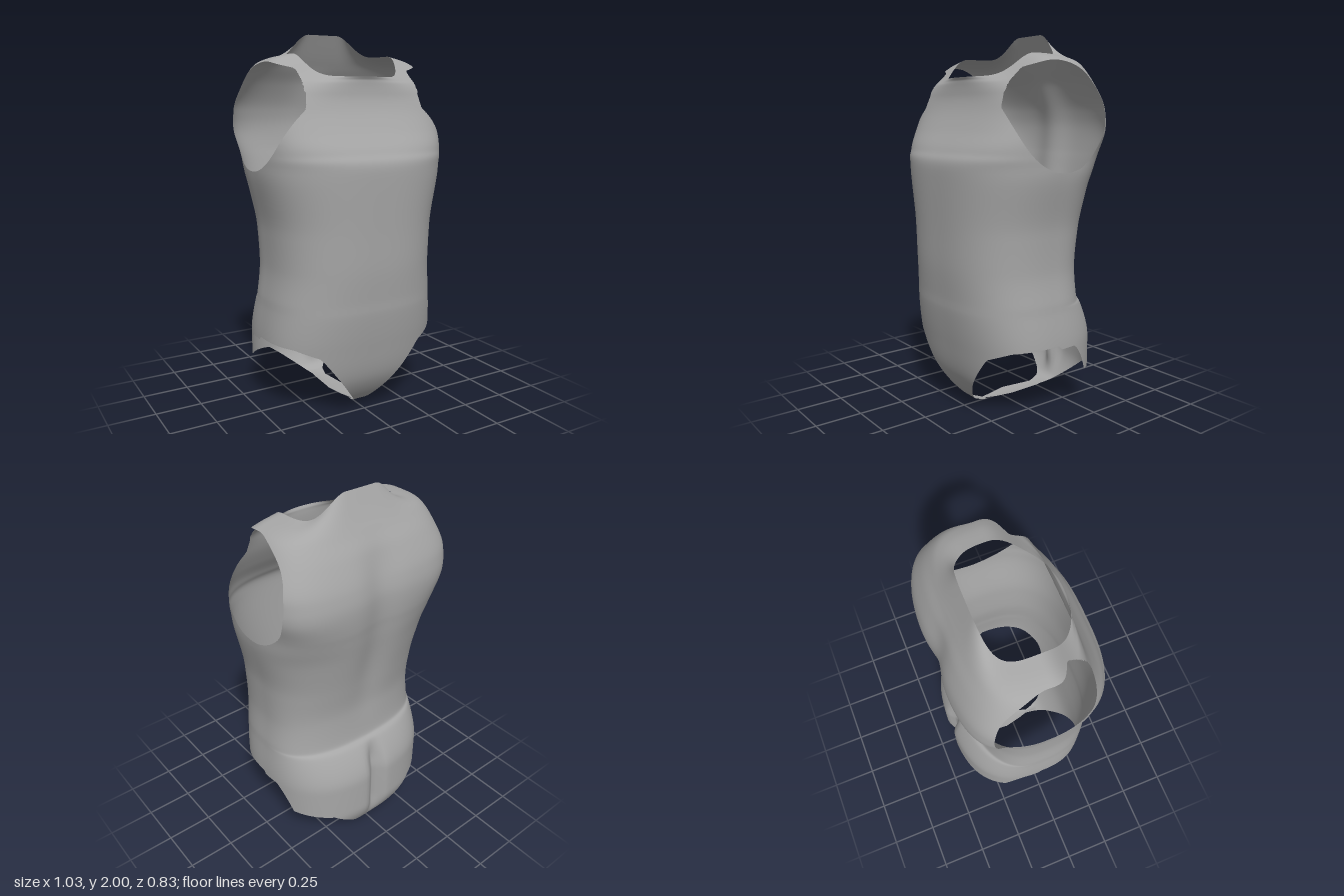
import * as THREE from 'three';

const { smoothstep, lerp, clamp } = THREE.MathUtils;

// Level rings from the bottom up: [height, half width, front depth, back depth]
const BODY = [
  [0, 0.49, 0.1, -0.25],
  [0.02, 0.49, 0.16, -0.31],
  [0.06, 0.49, 0.225, -0.36],
  [0.2, 0.49, 0.315, -0.412],
  [0.4, 0.492, 0.362, -0.41],
  [0.59, 0.475, 0.39, -0.338],
  [0.63, 0.472, 0.392, -0.303],
  [0.8, 0.455, 0.405, -0.295],
  [1.0, 0.462, 0.41, -0.32],
  [1.3, 0.515, 0.418, -0.377],
  [1.4, 0.518, 0.385, -0.392],
  [1.5, 0.525, 0.325, -0.398],
  [1.6, 0.525, 0.275, -0.385],
];
// Tilted shoulder rings: [side, front and back height, half width, front and back depth]
const YOKE = [
  [1.73, 1.68, 1.73, 0.495, 0.253, -0.335],
  [1.82, 1.73, 1.82, 0.455, 0.25, -0.285],
  [1.86, 1.75, 1.89, 0.39, 0.25, -0.25],
  [1.885, 1.768, 2, 0.288, 0.257, -0.2],
];
const COUNT = BODY.length + YOKE.length;

// Leg opening heights by distance from the middle (front, back) and by depth (back)
const LEG_FRONT = [[0, -0.01], [0.03, 0.03], [0.1, 0.11], [0.3, 0.36], [0.42, 0.41], [0.5, 0.42]];
const LEG_BACK = [[0, -0.01], [0.05, 0.02], [0.2, 0.14], [0.28, 0.2], [0.45, 0.24], [0.485, 0.4]];
const LEG_DEPTH = [[0.1, 0.41], [0.17, 0.35], [0.33, 0.22], [0.42, 0.2]];

function lookup(table, v) {
  let i = 1;
  while (i < table.length - 1 && table[i][0] < v) i++;
  const [a, b] = [table[i - 1], table[i]];
  return lerp(a[1], b[1], clamp((v - a[0]) / (b[0] - a[0]), 0, 1));
}

function ring(i) {
  if (i >= BODY.length) return YOKE[i - BODY.length];
  const [y, ...rest] = BODY[i];
  return [y, y, y, ...rest];
}

// Smooth blend between neighbouring rings without overshoot
function ringAt(i, f) {
  const A = ring(i), B = ring(i + 1);
  const slope = (k, c) => {
    if (k === 0 || k === COUNT - 1) return B[c] - A[c];
    const d0 = ring(k)[c] - ring(k - 1)[c], d1 = ring(k + 1)[c] - ring(k)[c];
    if (d0 * d1 <= 0) return 0;
    return Math.sign(d0) * Math.min(Math.abs(d0 + d1) / 2, 2 * Math.abs(d0), 2 * Math.abs(d1));
  };
  const f2 = f * f, f3 = f2 * f;
  return A.map((a, c) => (2 * f3 - 3 * f2 + 1) * a + (f3 - 2 * f2 + f) * slope(i, c)
    + (3 * f2 - 2 * f3) * B[c] + (f3 - f2) * slope(i + 1, c));
}

const bump = (v, w) => Math.exp(-((v / w) ** 2));

function surfacePoint([ys, yf, yb, hw, zf, zb], angle) {
  const c = Math.cos(angle), s = Math.sin(angle), front = s >= 0;
  // Rounded-square outline: squarer at the chest, rounder at the neck
  const yoke = smoothstep(ys, 1.62, 1.9);
  const n = front
    ? 2.7 + 1.8 * smoothstep(ys, 1.3, 1.6) - 2.3 * yoke
    : 2.55 + 1.05 * smoothstep(ys, 1.2, 1.5) - 0.3 * yoke;
  const taper = 0.08 * smoothstep(ys, 1.35, 1.55) * (1 - yoke);
  const r = (Math.abs(c) ** n + Math.abs(s) ** n) ** (-1 / n);
  const u = Math.abs(c * r), v = s * r;
  const x = c * r * hw * (1 - taper * v);
  const w = front ? 1 - u ** 8 : 1 - smoothstep(u, 0.3, 0.95);
  const y = ys + ((front ? yf : yb) - ys) * w;
  let z = Math.abs(v) * (front ? zf : zb);
  if (!front) {
    // Cleft below and soft spine furrow above
    z += 0.055 * bump(x, 0.04) * smoothstep(y, 0.04, 0.2) * (1 - smoothstep(y, 0.45, 0.63));
    z += 0.028 * bump(x, 0.1) * smoothstep(y, 0.65, 1.2) * (1 - smoothstep(y, 1.6, 1.85));
  }
  return [x, y, z];
}

// Positive where cloth remains, negative inside the arm and leg openings
function keep([x, y, z]) {
  const ax = Math.abs(x);
  const arm = Math.max(Math.hypot((z + 0.01) / 0.27, (y - 1.57) / 0.272) - 1, (0.33 - ax) * 4);
  const cut = z >= 0 ? lookup(LEG_FRONT, ax) : Math.min(lookup(LEG_BACK, ax), lookup(LEG_DEPTH, -z));
  return Math.min(arm * 0.27, y - cut);
}

function finish(points, index) {
  const g = new THREE.BufferGeometry();
  g.setAttribute('position', new THREE.Float32BufferAttribute(points.flat(), 3));
  g.setIndex(index);
  g.computeVertexNormals();
  return g.toNonIndexed(); // drops the cut-away vertices
}

function torsoGeometry() {
  const cols = 144, steps = 8, rows = (COUNT - 1) * steps;
  const points = [], field = [], index = [], cuts = new Map();
  for (let j = 0; j <= rows; j++) {
    const i = Math.min(Math.floor(j / steps), COUNT - 2);
    const outline = ringAt(i, j / steps - i);
    for (let k = 0; k < cols; k++) {
      const p = surfacePoint(outline, (k / cols) * Math.PI * 2);
      points.push(p);
      field.push(keep(p));
    }
  }
  // Shared vertex where an edge crosses an opening
  const cutVertex = (a, b) => {
    const key = `${Math.min(a, b)}_${Math.max(a, b)}`;
    if (!cuts.has(key)) {
      const t = field[a] / (field[a] - field[b]);
      points.push(points[a].map((v, c) => lerp(v, points[b][c], t)));
      cuts.set(key, points.length - 1);
    }
    return cuts.get(key);
  };
  const addClipped = (tri) => {
    const poly = [];
    tri.forEach((a, n) => {
      const b = tri[(n + 1) % 3];
      if (field[a] >= 0) poly.push(a);
      if ((field[a] >= 0) !== (field[b] >= 0)) poly.push(cutVertex(a, b));
    });
    for (let n = 2; n < poly.length; n++) index.push(poly[0], poly[n - 1], poly[n]);
  };
  for (let j = 0; j < rows; j++) {
    for (let k = 0; k < cols; k++) {
      const a = j * cols + k, b = j * cols + (k + 1) % cols;
      addClipped([a, a + cols, b]);
      addClipped([b, a + cols, b + cols]);
    }
  }
  return finish(points, index);
}

// Narrow strip joining front and back between the legs
function stripGeometry() {
  const points = [], index = [];
  const profile = [[0.18, 0.03, 0.022], [0.12, 0.008, 0.008], [0.05, 0.006, 0.028],
    [-0.05, 0.008, 0.05], [-0.25, 0.003, 0.035], [-0.31, 0.022, 0.045]];
  profile.forEach(([z, y, w], i) => {
    points.push([-w, y + 0.004, z], [0, y, z], [w, y + 0.004, z]);
    if (i === 0) return;
    for (let c = 0; c < 2; c++) {
      const a = (i - 1) * 3 + c, b = a + 3;
      index.push(a, b, a + 1, a + 1, b, b + 1);
    }
  });
  return finish(points, index);
}

export function createModel() {
  const group = new THREE.Group();
  group.name = 'sleevelessBodysuit';
  const grey = new THREE.MeshStandardMaterial({ color: 0xa6a6a6, side: THREE.DoubleSide });
  grey.name = 'grey cloth';
  const torso = new THREE.Mesh(torsoGeometry(), grey);
  torso.name = 'torsoShell';
  const strip = new THREE.Mesh(stripGeometry(), grey);
  strip.name = 'crotchStrip';
  group.add(torso, strip);
  return group;
}
